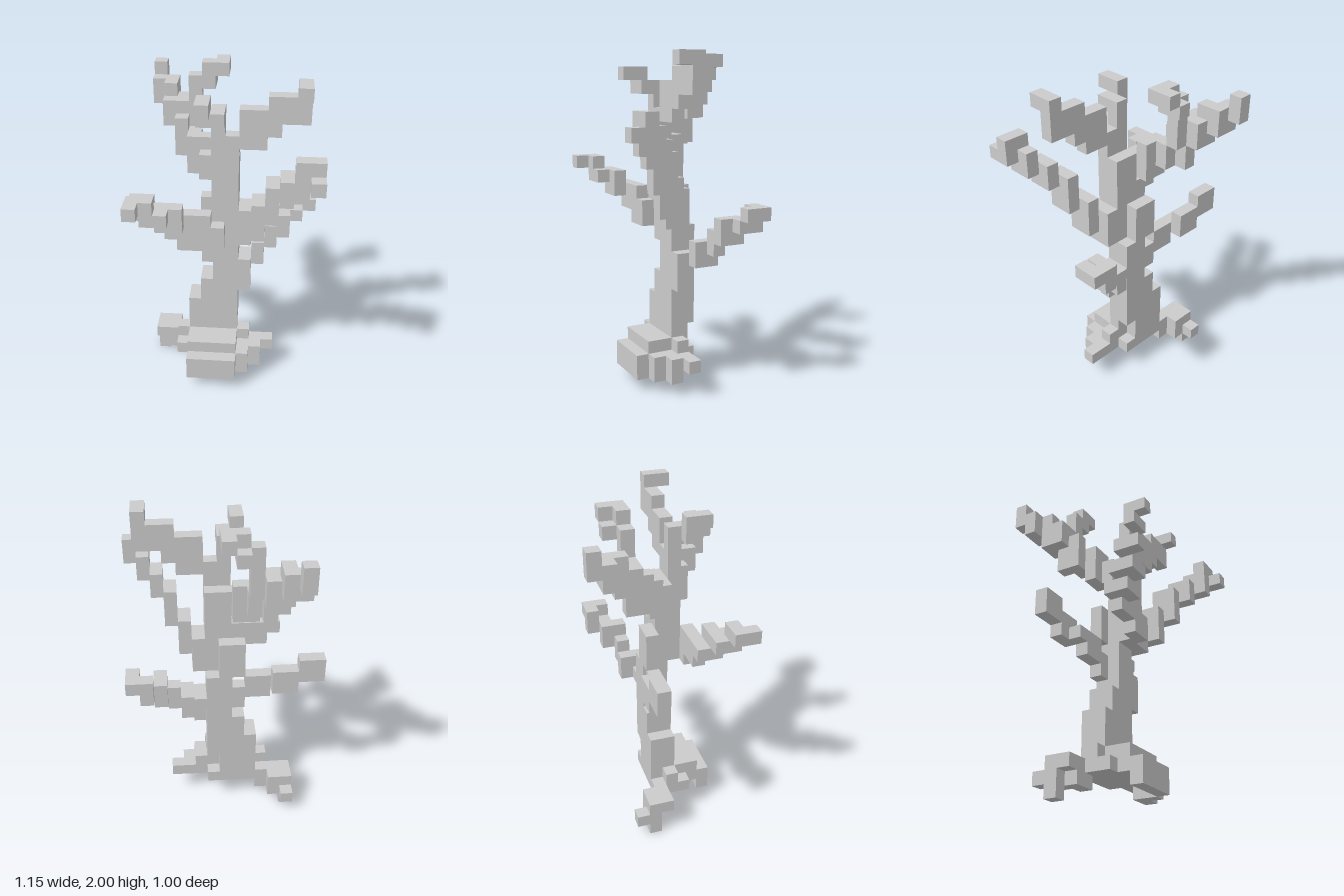
import * as THREE from 'three';
import { mergeGeometries } from 'three/addons/utils/BufferGeometryUtils.js';

// One block of the 15 x 26 x 13 grid
const U = 2 / 26;

// Each block run: [x0, x1, y0, y1, z0, z1] in grid lines
const parts = {
  rootBase: [
    [5, 9, 1, 3, 9, 10], [5, 9, 2, 3, 5, 9], [5, 9, 3, 4, 7, 9],
    [4, 5, 2, 4, 6, 7], [4, 5, 2, 3, 7, 8],
  ],
  leftRoot: [
    [9, 10, 1, 3, 7, 9], [9, 10, 2, 4, 6, 7],
    [10, 11, 1, 3, 7, 8], [10, 12, 2, 3, 6, 7],
  ],
  backRoot: [
    [4, 5, 1, 3, 5, 6], [3, 4, 1, 3, 4, 6], [2, 3, 2, 3, 5, 6],
    [2, 3, 1, 3, 4, 5], [2, 3, 1, 2, 3, 4], [2, 3, 0, 1, 4, 5],
  ],
  trunk: [
    [5, 8, 3, 5, 5, 7], [8, 9, 3, 5, 6, 7], [5, 9, 5, 7, 5, 7],
    [6, 9, 7, 9, 5, 7], [7, 9, 9, 13, 5, 7],
    [7, 9, 13, 20, 6, 8], [7, 9, 20, 22, 7, 8],
    [6, 8, 13, 16, 5, 6], [6, 8, 13, 15, 8, 9], [9, 10, 13, 16, 6, 8],
  ],
  lowerLeftBranch: [
    [9, 10, 8, 11, 6, 7], [9, 10, 10, 11, 5, 6], [10, 11, 10, 12, 4, 6],
    [11, 12, 11, 13, 4, 5], [12, 13, 12, 14, 3, 5], [13, 14, 13, 14, 3, 4],
    [13, 14, 13, 15, 2, 3], [14, 15, 14, 15, 2, 4],
  ],
  lowerRightBranch: [
    [6, 7, 10, 12, 5, 6], [4, 6, 11, 13, 5, 6], [3, 4, 12, 13, 4, 6],
    [2, 4, 12, 14, 4, 5], [0, 2, 13, 15, 4, 5],
  ],
  frontLeftBranch: [
    [10, 11, 14, 17, 7, 9], [11, 12, 16, 19, 8, 10], [12, 13, 18, 20, 9, 11],
    [13, 14, 19, 21, 10, 11], [13, 14, 19, 22, 11, 12],
    [14, 15, 20, 22, 11, 12], [14, 15, 20, 21, 12, 13],
  ],
  frontRightBranch: [
    [5, 7, 14, 16, 8, 9], [3, 5, 15, 16, 8, 9], [4, 5, 14, 16, 8, 9],
    [3, 5, 15, 17, 9, 10], [2, 4, 16, 17, 9, 11], [1, 3, 17, 18, 10, 11],
    [1, 2, 17, 18, 11, 12],
  ],
  upperBackBranch: [
    [6, 7, 18, 20, 6, 7], [5, 7, 18, 21, 5, 6], [5, 6, 19, 21, 4, 5],
    [4, 5, 19, 22, 3, 5], [3, 5, 21, 23, 2, 4], [3, 4, 22, 24, 1, 3],
    [2, 3, 22, 24, 1, 2], [2, 3, 23, 25, 0, 1],
  ],
  upperBackTwig: [
    [4, 6, 21, 23, 3, 4], [5, 6, 22, 25, 3, 4], [6, 7, 24, 25, 2, 4],
    [6, 8, 25, 26, 3, 4], [7, 8, 25, 26, 2, 3],
  ],
  upperLeftBranch: [
    [9, 11, 21, 23, 7, 8], [9, 11, 23, 24, 7, 8], [11, 12, 22, 25, 7, 8],
    [12, 13, 23, 25, 7, 8], [13, 14, 23, 26, 7, 8], [13, 14, 25, 26, 8, 9],
  ],
  upperFrontTwig: [
    [7, 8, 22, 24, 7, 8], [6, 8, 23, 24, 8, 9], [6, 7, 24, 25, 8, 10],
  ],
};

function block([x0, x1, y0, y1, z0, z1]) {
  const g = new THREE.BoxGeometry((x1 - x0) * U, (y1 - y0) * U, (z1 - z0) * U);
  return g.translate(((x0 + x1) / 2 - 7.5) * U, ((y0 + y1) / 2) * U, ((z0 + z1) / 2 - 6.5) * U);
}

export function createModel() {
  const tree = new THREE.Group();
  tree.name = 'blockTree';
  const material = new THREE.MeshStandardMaterial({ color: 0xcccccc, flatShading: true });
  for (const [name, runs] of Object.entries(parts)) {
    const mesh = new THREE.Mesh(mergeGeometries(runs.map(block)), material);
    mesh.name = name;
    tree.add(mesh);
  }
  return tree;
}
